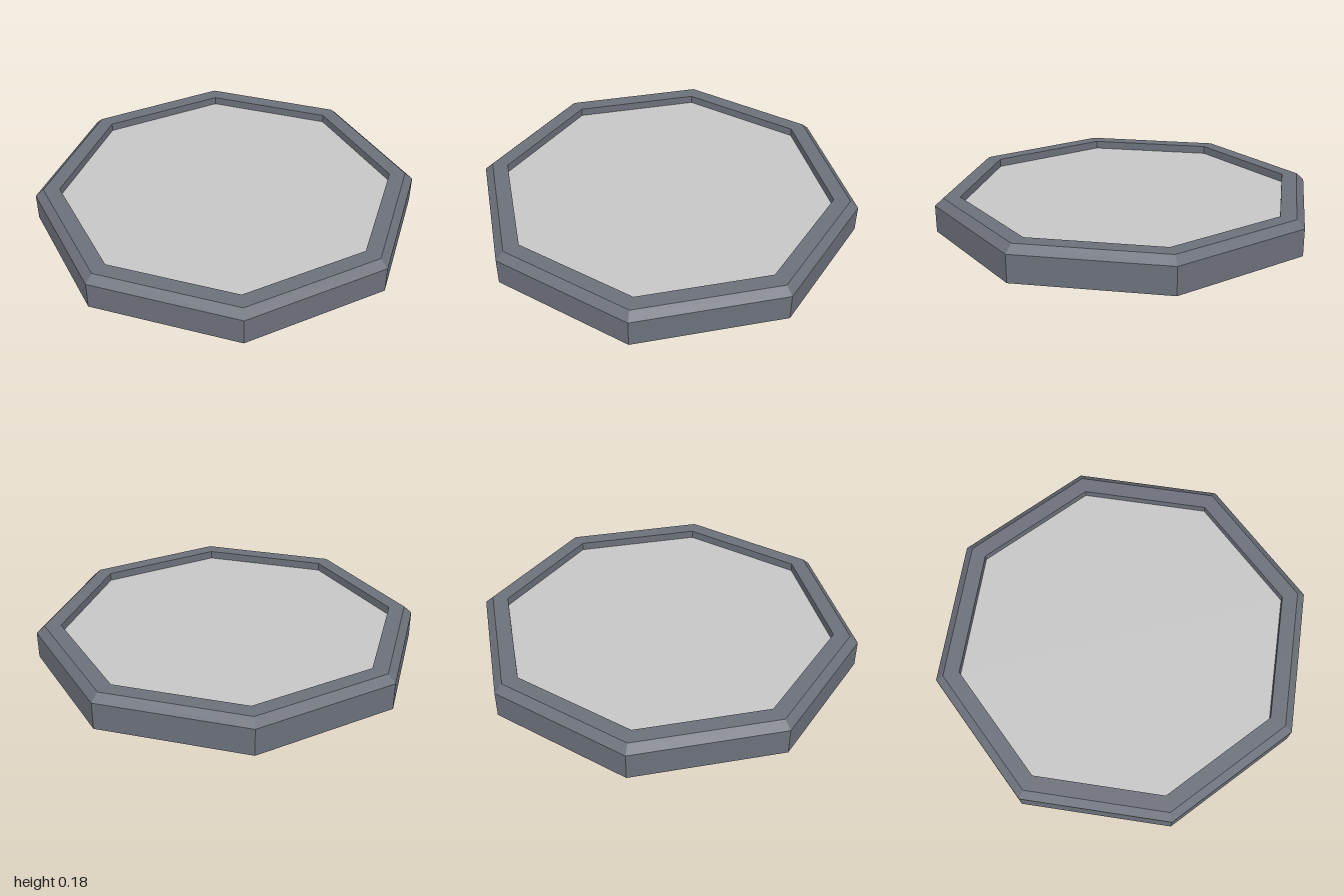
import * as THREE from 'three';

const SIDES = 8;

export function createModel() {
  const model = new THREE.Group();
  model.name = 'octagonalTray';

  const slate = new THREE.MeshStandardMaterial({ color: 0x6c707a });
  slate.name = 'slate grey';
  const pale = new THREE.MeshStandardMaterial({ color: 0xc6c6c6 });
  pale.name = 'pale grey';

  const add = (name, geometry, material) => {
    const mesh = new THREE.Mesh(geometry, material);
    mesh.name = name;
    model.add(mesh);
  };

  // Chamfered frame: outer wall, bevel, flat rim and inner wall, faceted
  const profile = [[1, 0], [1, 0.14], [0.957, 0.178], [0.872, 0.178], [0.872, 0.135]]
    .map(([r, y]) => new THREE.Vector2(r, y));
  const frame = new THREE.LatheGeometry(profile, SIDES).toNonIndexed();
  frame.computeVertexNormals();
  add('frame', frame, slate);

  // Underside, facing down
  add('base', new THREE.CircleGeometry(1, SIDES).rotateX(Math.PI / 2), slate);

  // Recessed panel, facing up
  add('panel', new THREE.CircleGeometry(0.872, SIDES).rotateX(-Math.PI / 2).translate(0, 0.135, 0), pale);

  return model;
}
